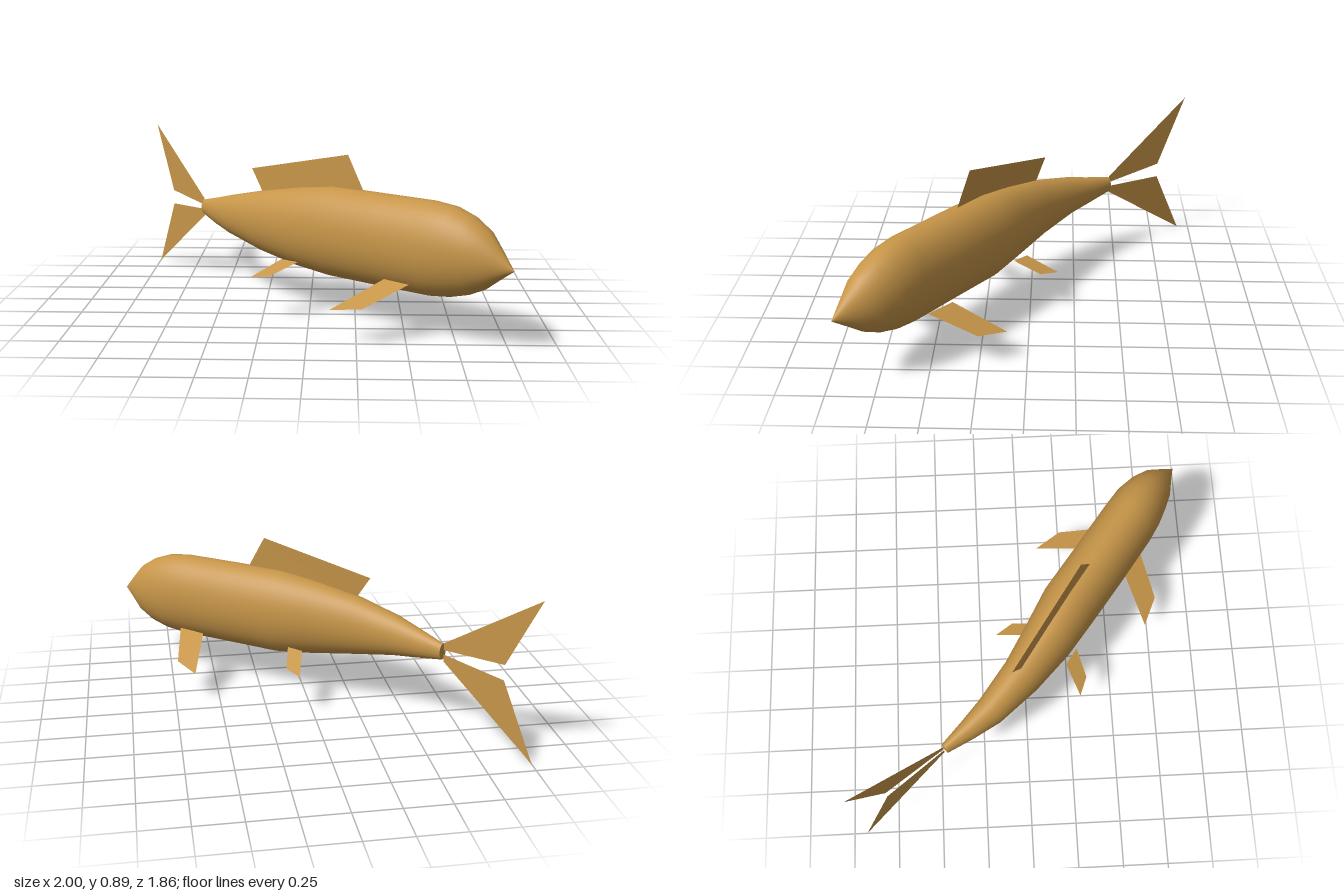
import * as THREE from 'three';

const SIDES = 40;

// Body stations from tail to snout: centre x, centre y, centre z, half width, half height
const STATIONS = [
  [-0.645, 0.45, -0.455, 0.027, 0.045],
  [-0.55, 0.452, -0.33, 0.055, 0.08],
  [-0.45, 0.458, -0.205, 0.082, 0.115],
  [-0.26, 0.462, -0.025, 0.112, 0.172],
  [-0.05, 0.464, 0.135, 0.143, 0.218],
  [0.13, 0.467, 0.255, 0.16, 0.244],
  [0.38, 0.467, 0.445, 0.161, 0.244],
  [0.63, 0.467, 0.63, 0.16, 0.244],
  [0.73, 0.467, 0.7, 0.153, 0.23],
  [0.81, 0.463, 0.762, 0.132, 0.198],
  [0.875, 0.457, 0.82, 0.102, 0.15],
  [0.932, 0.446, 0.873, 0.053, 0.08],
  [0.995, 0.43, 0.932, 0.001, 0.001],
];

// Skin of elliptical rings along the bent spine, closed at the tail
function bodyGeometry() {
  const pos = [], index = [];
  STATIONS.forEach(([x, y, z, w, h], i) => {
    const a = STATIONS[Math.max(i - 1, 0)];
    const b = STATIONS[Math.min(i + 1, STATIONS.length - 1)];
    const len = Math.hypot(b[0] - a[0], b[2] - a[2]);
    const sx = -(b[2] - a[2]) / len, sz = (b[0] - a[0]) / len;
    for (let j = 0; j < SIDES; j++) {
      const t = (j / SIDES) * Math.PI * 2;
      const c = Math.cos(t) * w;
      pos.push(x + sx * c, y + Math.sin(t) * h, z + sz * c);
    }
  });
  for (let i = 0; i < STATIONS.length - 1; i++) {
    for (let j = 0; j < SIDES; j++) {
      const k = (j + 1) % SIDES;
      const a = i * SIDES + j, b = i * SIDES + k;
      const c = a + SIDES, d = b + SIDES;
      index.push(a, c, b, b, c, d);
    }
  }
  // tail end cap with its own vertices so the rim stays sharp
  const base = pos.length / 3;
  pos.push(...pos.slice(0, SIDES * 3));
  for (let j = 1; j < SIDES - 1; j++) index.push(base, base + j, base + j + 1);
  const g = new THREE.BufferGeometry();
  g.setAttribute('position', new THREE.Float32BufferAttribute(pos, 3));
  g.setIndex(index);
  g.computeVertexNormals();
  return g;
}

// Flat four-cornered fin
function finGeometry(corners) {
  const g = new THREE.BufferGeometry();
  g.setAttribute('position', new THREE.Float32BufferAttribute(corners.flat(), 3));
  g.setIndex([0, 1, 2, 0, 2, 3]);
  g.computeVertexNormals();
  return g;
}

// Corners run: root back, rear tip, front tip, root front
const FINS = {
  dorsalFin: [[-0.265, 0.62, -0.02], [-0.33, 0.75, -0.075], [0.205, 0.89, 0.315], [0.295, 0.69, 0.385]],
  upperTailFin: [[-0.65, 0.46, -0.46], [-0.88, 0.49, -0.77], [-1, 0.885, -0.93], [-0.65, 0.5, -0.46]],
  lowerTailFin: [[-0.65, 0.435, -0.46], [-0.88, 0.405, -0.77], [-1, 0.0, -0.93], [-0.65, 0.395, -0.46]],
  leftPectoralFin: [[0.39, 0.3, 0.61], [0.115, 0.168, 0.72], [0.275, 0.192, 0.79], [0.51, 0.3, 0.715]],
  rightPectoralFin: [[0.565, 0.3, 0.39], [0.635, 0.168, 0.105], [0.725, 0.192, 0.25], [0.69, 0.3, 0.505]],
  leftPelvicFin: [[-0.15, 0.305, 0.235], [-0.315, 0.222, 0.31], [-0.21, 0.238, 0.35], [-0.06, 0.305, 0.3]],
  rightPelvicFin: [[0.035, 0.305, 0.02], [0.075, 0.222, -0.155], [0.135, 0.238, -0.06], [0.105, 0.305, 0.09]],
};

export function createModel() {
  const group = new THREE.Group();
  group.name = 'fish';
  const golden = new THREE.MeshStandardMaterial({ color: 0xc69548, side: THREE.DoubleSide });
  golden.name = 'golden brown';

  const add = (name, geometry) => {
    const mesh = new THREE.Mesh(geometry, golden);
    mesh.name = name;
    group.add(mesh);
  };
  add('body', bodyGeometry());
  for (const [name, corners] of Object.entries(FINS)) add(name, finGeometry(corners));
  return group;
}
